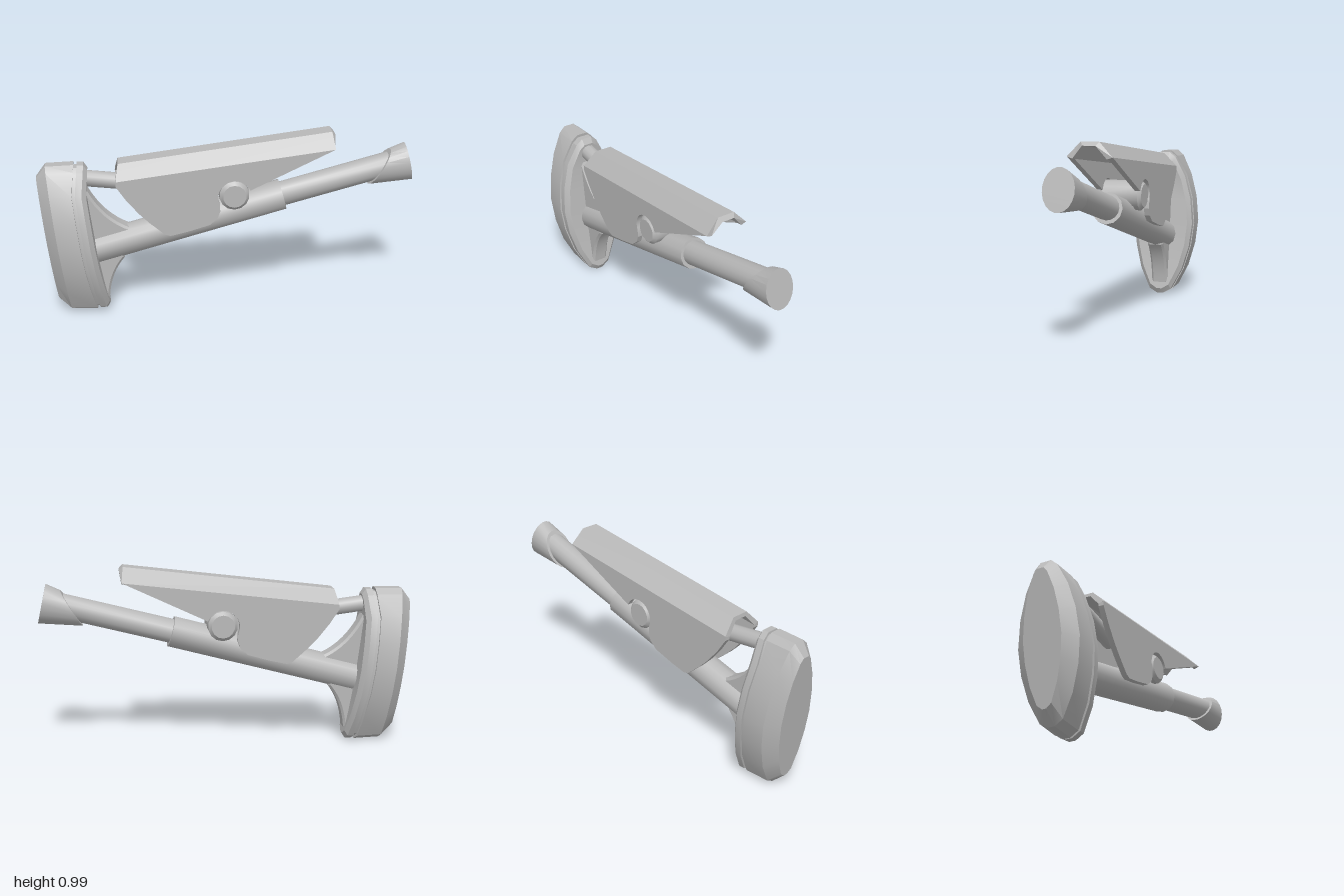
import * as THREE from 'three';
import { toCreasedNormals } from 'three/addons/utils/BufferGeometryUtils.js';

const V = (x, y, z = 0) => new THREE.Vector3(x, y, z);

// Skin over closed rings (back to front); each ring is mirrored in z, listed top to bottom to top
function loft(rings) {
  const n = rings[0].length, pos = [];
  const quad = (a, b, c, d) => [a, b, c, a, c, d].forEach((p) => pos.push(p.x, p.y, p.z));
  for (let i = 0; i < rings.length - 1; i++) {
    for (let j = 0; j < n; j++) {
      const k = (j + 1) % n, r = rings[i], s = rings[i + 1];
      quad(r[j], r[k], s[k], s[j]);
    }
  }
  const first = rings[0], last = rings[rings.length - 1];
  for (let j = 0; j < n / 2 - 1; j++) {
    quad(first[n - 1 - j], first[n - 2 - j], first[j + 1], first[j]);
    quad(last[j], last[j + 1], last[n - 2 - j], last[n - 1 - j]);
  }
  const g = new THREE.BufferGeometry();
  g.setAttribute('position', new THREE.Float32BufferAttribute(pos, 3));
  return toCreasedNormals(g, 0.4);
}

// Complete a half ring by mirroring it in z
const mirrorRing = (half) => [...half, ...half.slice().reverse().map((p) => V(p.x, p.y, -p.z))];

// Cylinder between two points
function rod(a, b, r, sides) {
  const g = new THREE.CylinderGeometry(r, r, a.distanceTo(b), sides);
  const dir = b.clone().sub(a).normalize();
  g.applyQuaternion(new THREE.Quaternion().setFromUnitVectors(V(0, 1), dir));
  const c = a.clone().add(b).multiplyScalar(0.5);
  g.translate(c.x, c.y, c.z);
  return toCreasedNormals(g, 0.7);
}

export function createModel() {
  const group = new THREE.Group();
  const grey = new THREE.MeshStandardMaterial({ color: 0xb8b8b8 });
  grey.name = 'grey';
  const add = (name, geometry) => {
    const mesh = new THREE.Mesh(geometry, grey);
    mesh.name = name;
    group.add(mesh);
    return mesh;
  };

  // Butt pad and plate: oval outline [y, half width] with a curved front
  const oval = [[0.86, 0.03], [0.83, 0.065], [0.715, 0.122], [0.58, 0.16], [0.43, 0.177],
    [0.29, 0.163], [0.15, 0.125], [0.03, 0.065], [0.003, 0.018]];
  const curve = [[0, -0.71], [0.03, -0.715], [0.25, -0.76], [0.46, -0.79], [0.71, -0.82], [0.86, -0.805]];
  const curveX = (y) => {
    let i = 0;
    while (i < curve.length - 2 && y > curve[i + 1][0]) i++;
    const [y0, x0] = curve[i], [y1, x1] = curve[i + 1];
    return x0 + (x1 - x0) * (y - y0) / (y1 - y0);
  };
  const ovalRing = (fx, sy, sz) => mirrorRing(oval.map(([y, z]) => {
    const yy = 0.43 + (y - 0.43) * sy;
    return V(fx(yy), yy, z * sz);
  }));
  const offset = (d) => (y) => curveX(y) + d;
  add('buttPad', loft([
    ovalRing((y) => -1 + (0.77 - y) * 0.116, 0.83, 0.6),
    ovalRing((y) => -0.95 + (0.835 - y) * 0.12, 0.98, 0.97),
    ovalRing(offset(0), 0.99, 1),
    ovalRing(offset(0), 0.95, 0.93),
    ovalRing(offset(0.02), 0.95, 0.93),
  ]));
  add('buttPlate', loft([
    ovalRing(offset(0.018), 0.98, 1),
    ovalRing(offset(0.052), 0.98, 1),
    ovalRing(offset(0.075), 0.91, 0.86),
  ]));

  // Telescoping tubes and the upper rod
  add('outerTube', rod(V(-0.73, 0.36), V(0.3, 0.64), 0.084, 12));
  add('innerTube', rod(V(0.27, 0.635), V(0.88, 0.795), 0.066, 16));
  add('upperRod', rod(V(-0.79, 0.775), V(-0.3, 0.715), 0.044, 12));

  // End collar: elliptical sleeve with a slanted rear cut
  const ellipse = (c, up) => mirrorRing(Array.from({ length: 10 }, (_, i) => {
    const a = (i + 0.5) / 10 * Math.PI;
    return V(c.x + up.x * Math.cos(a), c.y + up.y * Math.cos(a), 0.081 * Math.sin(a));
  }));
  add('endCollar', loft([
    ellipse(V(0.822, 0.78), V(0.058, 0.096)),
    ellipse(V(0.977, 0.807), V(-0.023, 0.104)),
  ]));

  // Curved gussets between plate and tube
  const gusset = (name, draw) => {
    const s = new THREE.Shape();
    draw(s);
    const g = new THREE.ExtrudeGeometry(s, {
      depth: 0.07, bevelEnabled: true, bevelSize: 0.012, bevelThickness: 0.012,
      bevelOffset: -0.012, bevelSegments: 1, curveSegments: 8,
    });
    g.translate(0, 0, -0.035);
    add(name, toCreasedNormals(g, 0.4));
  };
  gusset('upperGusset', (s) => {
    s.moveTo(-0.77, 0.4);
    s.lineTo(-0.5, 0.43);
    s.lineTo(-0.52, 0.49);
    s.quadraticCurveTo(-0.66, 0.55, -0.74, 0.71);
    s.lineTo(-0.79, 0.71);
  });
  gusset('lowerGusset', (s) => {
    s.moveTo(-0.77, 0.36);
    s.lineTo(-0.7, 0.08);
    s.lineTo(-0.645, 0.08);
    s.quadraticCurveTo(-0.635, 0.23, -0.555, 0.32);
    s.lineTo(-0.55, 0.4);
  });

  // Cheek rest sides, cut away around the lock knob
  const knob = V(0.032, 0.68);
  const side = new THREE.Shape();
  side.moveTo(-0.59, 0.785);
  [[-0.59, 0.76], [-0.54, 0.685], [-0.475, 0.605], [-0.42, 0.55], [-0.34, 0.48], [-0.31, 0.47],
    [-0.22, 0.49], [-0.1, 0.525], [-0.06, 0.56], [-0.045, 0.6]].forEach(([x, y]) => side.lineTo(x, y));
  side.absarc(knob.x, knob.y, 0.088, 3.6, 0.38, true);
  side.lineTo(0.56, 0.925);
  for (const z of [0.09, -0.12]) {
    const g = new THREE.ExtrudeGeometry(side, { depth: 0.03, bevelEnabled: false, curveSegments: 10 });
    g.translate(0, 0, z);
    add(z > 0 ? 'cheekSideLeft' : 'cheekSideRight', toCreasedNormals(g, 0.4));
  }

  // Cheek rest roof: chamfered channel rising toward the front end
  const section = new THREE.Shape([[-0.12, -0.076], [-0.09, -0.085], [-0.035, -0.02], [0.035, -0.02],
    [0.09, -0.085], [0.12, -0.076], [0.048, 0], [-0.048, 0]].map(([x, y]) => new THREE.Vector2(x, y)));
  const roof = new THREE.ExtrudeGeometry(section, { depth: 1, bevelEnabled: false });
  const p = roof.attributes.position;
  for (let i = 0; i < p.count; i++) {
    const z = -p.getX(i), h = p.getY(i), t = p.getZ(i);
    const front = h === 0 ? 0.552 : h > -0.05 ? 0.572 : 0.562;
    const back = -0.575 + h * 0.2;
    p.setXYZ(i, back + (front - back) * t, 0.86 + 0.14 * t + h, z);
  }
  add('cheekRoof', toCreasedNormals(roof, 0.3));

  // Lock knob: chamfered pin across the tube
  const profile = [[0, -0.118], [0.062, -0.118], [0.08, -0.1], [0.08, 0.1], [0.062, 0.118], [0, 0.118]];
  const pin = new THREE.LatheGeometry(profile.map(([x, y]) => new THREE.Vector2(x, y)), 14);
  pin.rotateX(Math.PI / 2);
  pin.translate(knob.x, knob.y, 0);
  add('lockKnob', toCreasedNormals(pin, 0.6));

  return group;
}
